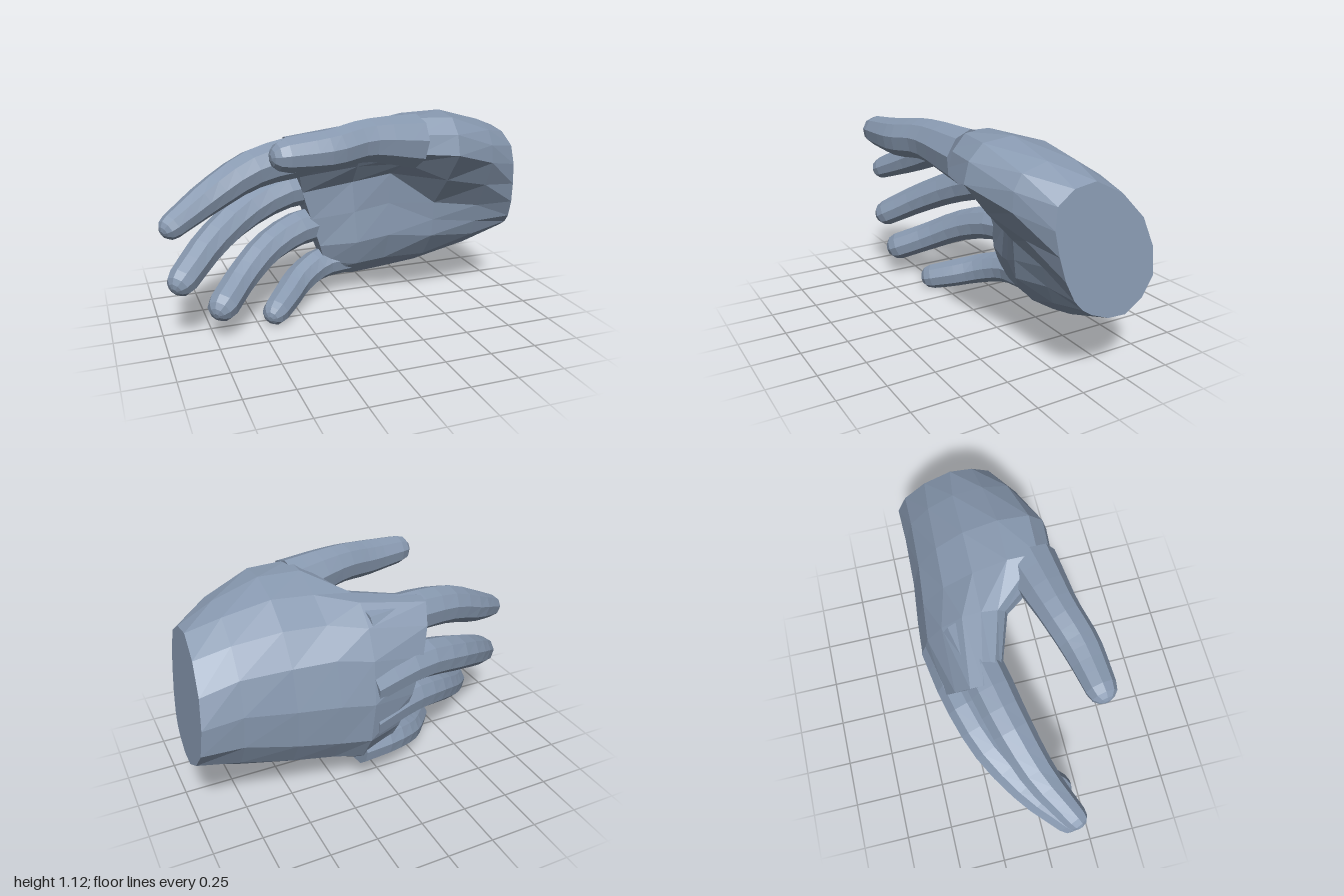
import * as THREE from 'three';

const material = new THREE.MeshStandardMaterial({ color: 0x8899b0, flatShading: true });

// Skins a list of closed rings (arrays of Vector3) and closes both ends
function loft(name, rings) {
  const n = rings[0].length, corners = [];
  for (let i = 0; i < rings.length - 1; i++) {
    for (let j = 0; j < n; j++) {
      const k = (j + 1) % n;
      const a = rings[i][j], b = rings[i][k], c = rings[i + 1][k], d = rings[i + 1][j];
      corners.push(a, d, c, a, c, b);
    }
  }
  const first = rings[0], last = rings[rings.length - 1];
  for (let j = 1; j < n - 1; j++) {
    corners.push(first[0], first[j], first[j + 1], last[0], last[j + 1], last[j]);
  }
  const geometry = new THREE.BufferGeometry().setFromPoints(corners);
  geometry.computeVertexNormals();
  const mesh = new THREE.Mesh(geometry, material);
  mesh.name = name;
  return mesh;
}

// Round limb along a smooth path of [x, y, z, radius], ending in a dome
function limb(name, stations, steps = 10, sides = 9) {
  const path = new THREE.CatmullRomCurve3(stations.map(([x, y, z]) => new THREE.Vector3(x, y, z)));
  const up = new THREE.Vector3(0, 1, 0);
  const ring = (t, ahead, scale) => {
    const f = t * (stations.length - 1), i = Math.min(Math.floor(f), stations.length - 2);
    const r = THREE.MathUtils.lerp(stations[i][3], stations[i + 1][3], f - i);
    const dir = path.getTangent(t), side = up.clone().cross(dir).normalize(), rise = dir.clone().cross(side);
    const centre = path.getPoint(t).addScaledVector(dir, ahead * r);
    return Array.from({ length: sides }, (_, j) => {
      const a = j / sides * Math.PI * 2;
      return centre.clone().addScaledVector(rise, Math.cos(a) * r * scale).addScaledVector(side, Math.sin(a) * r * scale);
    });
  };
  const rings = Array.from({ length: steps + 1 }, (_, i) => ring(i / steps, 0, 1));
  [0.55, 0.85, 0.98].forEach(h => rings.push(ring(1, h, Math.sqrt(1 - h * h))));
  return loft(name, rings);
}

// Palm section: a smooth closed outline through [z, y] corners, sheared along x by slant
function palmRing({ x, slant, outline }, sides = 16) {
  const curve = new THREE.CatmullRomCurve3(
    outline.map(([z, y]) => new THREE.Vector3(x + slant * (0.66 - y), y, z)), true);
  return Array.from({ length: sides }, (_, j) => curve.getPoint(j / sides));
}

// Corners run from the top over the thumb mound, the hollow and the heel of
// the hand to the bottom, then up the back
const palm = [
  { x: 0.96, slant: 0.125, outline: [[-.08, .98], [.13, .9], [.13, .68], [.06, .47], [-.03, .39], [-.22, .35], [-.39, .5], [-.34, .78]] },
  { x: 0.76, slant: 0.04, outline: [[-.1, 1.03], [.19, 1.01], [.24, .84], [.08, .56], [.02, .37], [-.2, .26], [-.38, .48], [-.34, .82]] },
  { x: 0.5, slant: 0, outline: [[-.1, 1.07], [.24, 1.1], [.34, .92], [.07, .6], [.05, .4], [-.18, .18], [-.38, .4], [-.35, .82]] },
  { x: 0.28, slant: 0, outline: [[-.1, 1.05], [.23, 1.11], [.32, .94], [-.03, .76], [-.04, .4], [-.2, .15], [-.4, .36], [-.37, .82]] },
  { x: 0.1, slant: 0.06, outline: [[-.2, 1.01], [-.02, 1], [.03, .9], [-.14, .7], [-.11, .35], [-.24, .12], [-.42, .34], [-.39, .78]] },
  { x: -0.18, slant: 0.3, outline: [[-.24, .96], [-.12, .95], [-.08, .85], [-.19, .65], [-.18, .33], [-.24, .15], [-.34, .33], [-.36, .72]] },
];

// Centre lines, root to tip: x, y, z, radius
const limbs = {
  indexFinger: [[0.08, 0.88, -0.21, 0.11], [-0.22, 0.87, -0.145, 0.115], [-0.48, 0.835, -0.085, 0.105],
    [-0.72, 0.735, 0, 0.09], [-0.93, 0.638, 0.12, 0.066]],
  middleFinger: [[0.1, 0.62, -0.34, 0.1], [-0.2, 0.66, -0.285, 0.105], [-0.48, 0.59, -0.195, 0.1],
    [-0.73, 0.465, -0.04, 0.09], [-0.895, 0.35, 0.115, 0.079]],
  ringFinger: [[0.1, 0.41, -0.33, 0.1], [-0.15, 0.435, -0.26, 0.1], [-0.38, 0.375, -0.16, 0.092],
    [-0.57, 0.27, -0.02, 0.084], [-0.7, 0.19, 0.125, 0.082]],
  littleFinger: [[0.13, 0.21, -0.28, 0.09], [-0.06, 0.2, -0.25, 0.09], [-0.22, 0.15, -0.16, 0.085],
    [-0.33, 0.105, -0.04, 0.08], [-0.405, 0.076, 0.045, 0.073]],
  thumb: [[0.3, 0.985, 0.2, 0.14], [0, 1.02, 0.265, 0.105], [-0.2, 1, 0.325, 0.1], [-0.42, 0.997, 0.36, 0.079]],
};

export function createModel() {
  const hand = new THREE.Group();
  hand.name = 'hand';

  // Palm with the thumb mound and the cut wrist
  hand.add(loft('palm', palm.map(section => palmRing(section))));

  // Fingers and thumb
  for (const [name, stations] of Object.entries(limbs)) hand.add(limb(name, stations));

  return hand;
}
